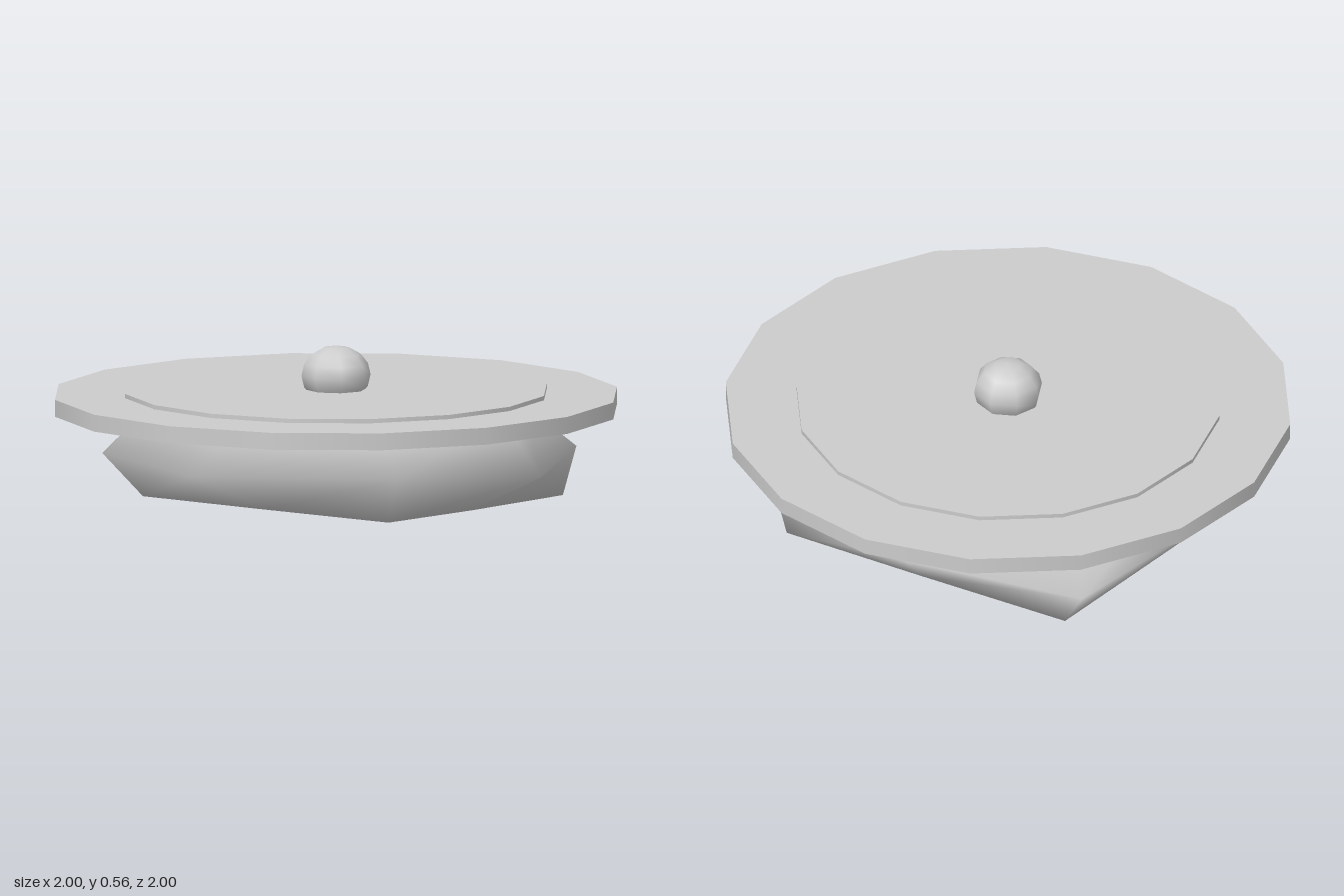
import * as THREE from 'three';

const material = () => new THREE.MeshStandardMaterial({ color: 0xcccccc });

function add(group, name, geometry, y = 0) {
  const mesh = new THREE.Mesh(geometry, material());
  mesh.name = name;
  mesh.position.y = y;
  group.add(mesh);
  return mesh;
}

// Joins closed rings of equal length (listed bottom to top), with a centre point closing each end.
function loftRings(rings, bottom, top) {
  const n = rings[0].length;
  const points = [...rings.flat(), bottom, top];
  const base = rings.length * n;
  const index = [];
  for (let i = 0; i < n; i++) {
    const j = (i + 1) % n;
    for (let r = 0; r < rings.length - 1; r++) {
      const a = r * n + i, b = r * n + j;
      index.push(a, a + n, b, b, a + n, b + n);
    }
    const last = (rings.length - 1) * n;
    index.push(base, i, j, base + 1, last + j, last + i);
  }
  const geometry = new THREE.BufferGeometry();
  geometry.setAttribute('position', new THREE.Float32BufferAttribute(points.flat(), 3));
  // Rings run from +x towards +z, so the winding above faces outwards.
  geometry.setIndex(index);
  geometry.computeVertexNormals();
  return geometry;
}

export function createModel() {
  const group = new THREE.Group();
  group.name = 'liddedStone';

  // Irregular flattened body: roughly square underside, bulging waist, narrower top
  const underside = [
    [0.6, 0.005, 0], [0.6, 0.005, 0.55], [0.05, 0.015, 0.55], [-0.45, 0.03, 0.55],
    [-0.47, 0.035, 0.03], [-0.48, 0.04, -0.49], [0.06, 0.02, -0.54], [0.6, 0.01, -0.58],
  ];
  const waist = [
    [0.72, 0.14, 0], [0.57, 0.19, 0.63], [0.04, 0.16, 0.86], [-0.54, 0.2, 0.65],
    [-0.84, 0.19, -0.02], [-0.6, 0.2, -0.58], [-0.08, 0.19, -0.86], [0.62, 0.14, -0.66],
  ];
  const shoulder = [
    [0.58, 0.35, 0], [0.46, 0.35, 0.46], [0.04, 0.35, 0.69], [-0.46, 0.35, 0.52],
    [-0.59, 0.35, -0.02], [-0.45, 0.35, -0.48], [-0.06, 0.35, -0.71], [0.46, 0.35, -0.55],
  ];
  add(group, 'body', loftRings([underside, waist, shoulder], [0.05, 0.005, 0], [0, 0.37, 0]));

  // Flat sixteen-sided lid with a thin raised plate
  add(group, 'lid', new THREE.CylinderGeometry(1, 1, 0.06, 16), 0.36);
  add(group, 'lidPlate', new THREE.CylinderGeometry(0.75, 0.75, 0.035, 16), 0.3875);

  // Slightly squashed knob, sunk into the lid
  const knob = add(group, 'knob', new THREE.SphereGeometry(0.123, 8, 8), 0.455);
  knob.scale.y = 0.855;

  return group;
}
